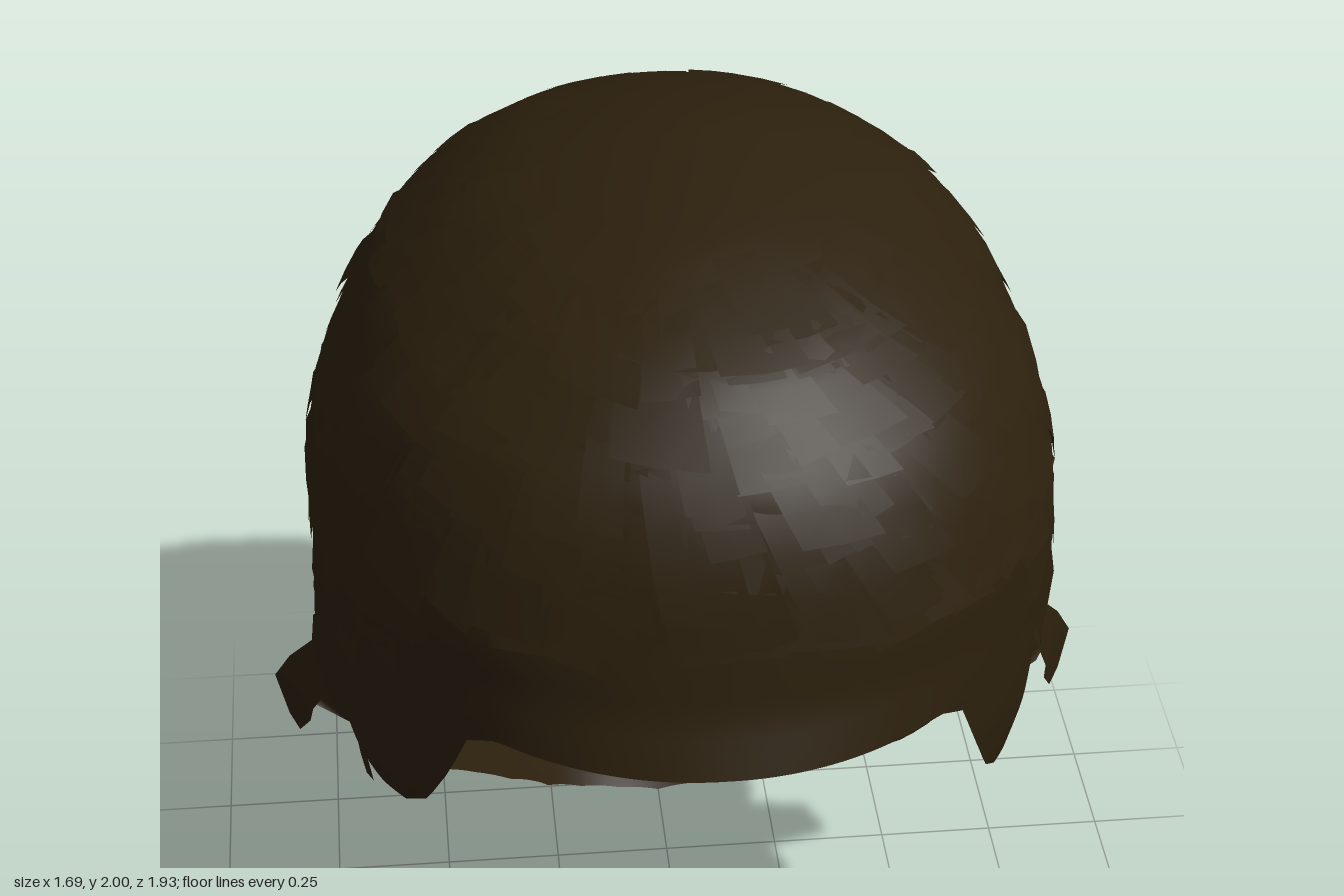
import * as THREE from 'three';

const rad = Math.PI / 180;

// piecewise interpolation of [key, value] rows; power 2 gives rounded profiles
function table(rows, k, power = 1) {
  if (k <= rows[0][0]) return rows[0][1];
  for (let i = 1; i < rows.length; i++) {
    const [a, va] = rows[i - 1], [b, vb] = rows[i];
    if (k <= b) {
      const f = (k - a) / (b - a);
      return Math.pow(va ** power * (1 - f) + vb ** power * f, 1 / power);
    }
  }
  return rows[rows.length - 1][1];
}

// head cross-section by height: half width, front depth, back depth
const WIDTH = [[0, .36], [.1, .37], [.2, .4], [.4, .5], [.6, .635], [.7, .69], [.8, .715], [.9, .73], [1.2, .735],
  [1.4, .72], [1.6, .65], [1.74, .57], [1.87, .44], [1.93, .35], [1.98, .18], [2, 0]];
const FRONT = [[.5, .7], [.78, .84], [.92, .93], [1.05, .975], [1.2, .97], [1.3, .925], [1.45, .895], [1.55, .88],
  [1.7, .82], [1.87, .67], [1.97, .38], [2, 0]];
const BACK = [[0, .46], [.12, .565], [.25, .64], [.55, .79], [.8, .89], [1.05, .945], [1.25, .945], [1.4, .91],
  [1.55, .845], [1.78, .62], [1.92, .38], [1.99, .12], [2, 0]];
// lower rim of the cap and lower limit of the locks, by degrees from the front
const RIM = [[0, 1.2], [34, 1.195], [39, 1.16], [43, 1.05], [47.7, .92], [54, .83], [62, .79], [69, .78], [80, .75],
  [89, .71], [91, .7], [92.4, .55], [95, .46], [98, .4], [102, .36], [108, .3], [119, .2], [135, .1], [150, .05],
  [165, .02], [180, .005]];
const HAIRLINE = [[0, 1.43], [38, 1.4], [50, 1.28], [60, 1.14], [75, .94], [88, .8], [95, .7], [100, .52],
  [120, .31], [140, .2], [180, .13]];

const degrees = u => Math.abs(Math.atan2(Math.sin(u), Math.cos(u))) / rad;

// point on the head at azimuth u and height y, lifted outward, fuller at the front corners
function surface(u, y, lift = 0) {
  const c = Math.cos(u);
  const p = new THREE.Vector3(table(WIDTH, y, 2) * Math.sin(u), y, c * table(c > 0 ? FRONT : BACK, y, 2));
  const out = p.clone().sub(new THREE.Vector3(0, Math.min(y, 1.1), 0)).normalize();
  const corner = c > 0 ? Math.sin(2 * u) ** 2 : 0;
  const height = THREE.MathUtils.smoothstep(y, 1.15, 1.4) * (1 - THREE.MathUtils.smoothstep(y, 1.6, 1.95));
  return p.addScaledVector(out, lift + .04 * corner * height);
}

// appends a grid of points, rows by columns, to shared buffers
function addGrid(buf, rows, cols, fn) {
  const base = buf.pos.length / 3;
  for (let i = 0; i <= rows; i++) for (let j = 0; j <= cols; j++) buf.pos.push(...fn(i / rows, j / cols).toArray());
  for (let i = 0; i < rows; i++) for (let j = 0; j < cols; j++) {
    const a = base + i * (cols + 1) + j, b = a + cols + 1;
    buf.idx.push(a, b, a + 1, a + 1, b, b + 1);
  }
}

function toMesh(buf, material, name) {
  const g = new THREE.BufferGeometry();
  g.setAttribute('position', new THREE.Float32BufferAttribute(buf.pos, 3));
  g.setIndex(buf.idx);
  g.computeVertexNormals();
  const mesh = new THREE.Mesh(g, material);
  mesh.name = name;
  return mesh;
}

export function createModel() {
  const group = new THREE.Group();
  group.name = 'hair';
  const brown = new THREE.MeshStandardMaterial({ color: 0x2c200d, side: THREE.DoubleSide });
  brown.name = 'dark brown hair';

  // smooth open cap
  const cap = { pos: [], idx: [] };
  addGrid(cap, 36, 240, (t, s) => {
    const u = (s * 2 - 1) * Math.PI;
    const rim = table(RIM, degrees(u));
    return surface(u, 2 - (2 - rim) * (1 - Math.cos(t * Math.PI / 2)));
  });
  group.add(toMesh(cap, brown, 'cap'));

  // overlapping strips of hair, swept down and back from the crown
  let seed = 7;
  const rnd = () => (seed = (seed * 16807) % 2147483647) / 2147483647;
  const locks = { pos: [], idx: [] };
  for (let n = 0; n < 1100; n++) {
    const u0 = (rnd() * 2 - 1) * Math.PI, start = .06 + rnd() * .88;
    const length = .1 + rnd() * .12, radius = .25 + .5 * Math.min(1, start * 2);
    const width = (.06 + rnd() * .09) / radius;
    const sweep = 1.6 * Math.sin(u0) * (Math.cos(u0) > -.5 ? 1 : .2) + .9 * Math.max(0, Math.cos(u0));
    const tip = (.008 + rnd() * .014) * Math.min(1, start * 4), slant = (rnd() - .5) * .03;
    const limit = Math.acos(table(HAIRLINE, degrees(u0)) / 2) / (Math.PI / 2);
    if (start + length * .4 > limit) continue;
    const end = Math.min(start + length, limit + (rnd() - .5) * .02);
    addGrid(locks, 4, 2, (t, s) => {
      const k = start + (end - start) * t + slant * (s - .5);
      const u = u0 + (s - .5) * width + sweep * (end - start) * t;
      return surface(u, 2 * Math.cos(k * Math.PI / 2), -.003 + (tip + .003) * t);
    });
  }
  group.add(toMesh(locks, brown, 'locks'));

  // tufts at each ear: ribbons given as pairs of edge points
  const tufts = {
    sideburn: [[[.66, .84, .32], [.7, .84, .04]], [[.66, .76, .28], [.69, .74, .04]],
      [[.655, .67, .21], [.685, .66, .06]], [[.65, .6, .17], [.675, .61, .09]], [[.65, .575, .14], [.665, .575, .11]]],
    earTuft: [[[.7, .95, .24], [.735, .92, .08]], [[.735, .85, .19], [.76, .87, .03]],
      [[.765, .76, .12], [.81, .81, 0]], [[.775, .69, .07], [.845, .74, -.03]], [[.8, .63, .02], [.82, .66, 0]]],
    innerTuft: [[[.71, .88, .1], [.75, .88, .04]], [[.7, .78, .08], [.79, .78, -.03]],
      [[.69, .71, .06], [.8, .73, -.02]], [[.695, .65, .03], [.77, .69, .01]]],
    templeLock: [[[.62, 1.24, .56], [.69, 1.27, .4]], [[.68, 1.05, .4], [.735, 1.1, .25]],
      [[.715, .94, .27], [.75, 1, .12]], [[.735, .86, .18], [.76, .88, .05]]],
  };
  for (const [name, rows] of Object.entries(tufts)) for (const side of [1, -1]) {
    const buf = { pos: [], idx: [] };
    addGrid(buf, rows.length - 1, 1, (t, s) => {
      const [x, y, z] = rows[Math.round(t * (rows.length - 1))][s];
      return new THREE.Vector3(x * side, y, z);
    });
    group.add(toMesh(buf, brown, (side > 0 ? 'left ' : 'right ') + name));
  }
  return group;
}
